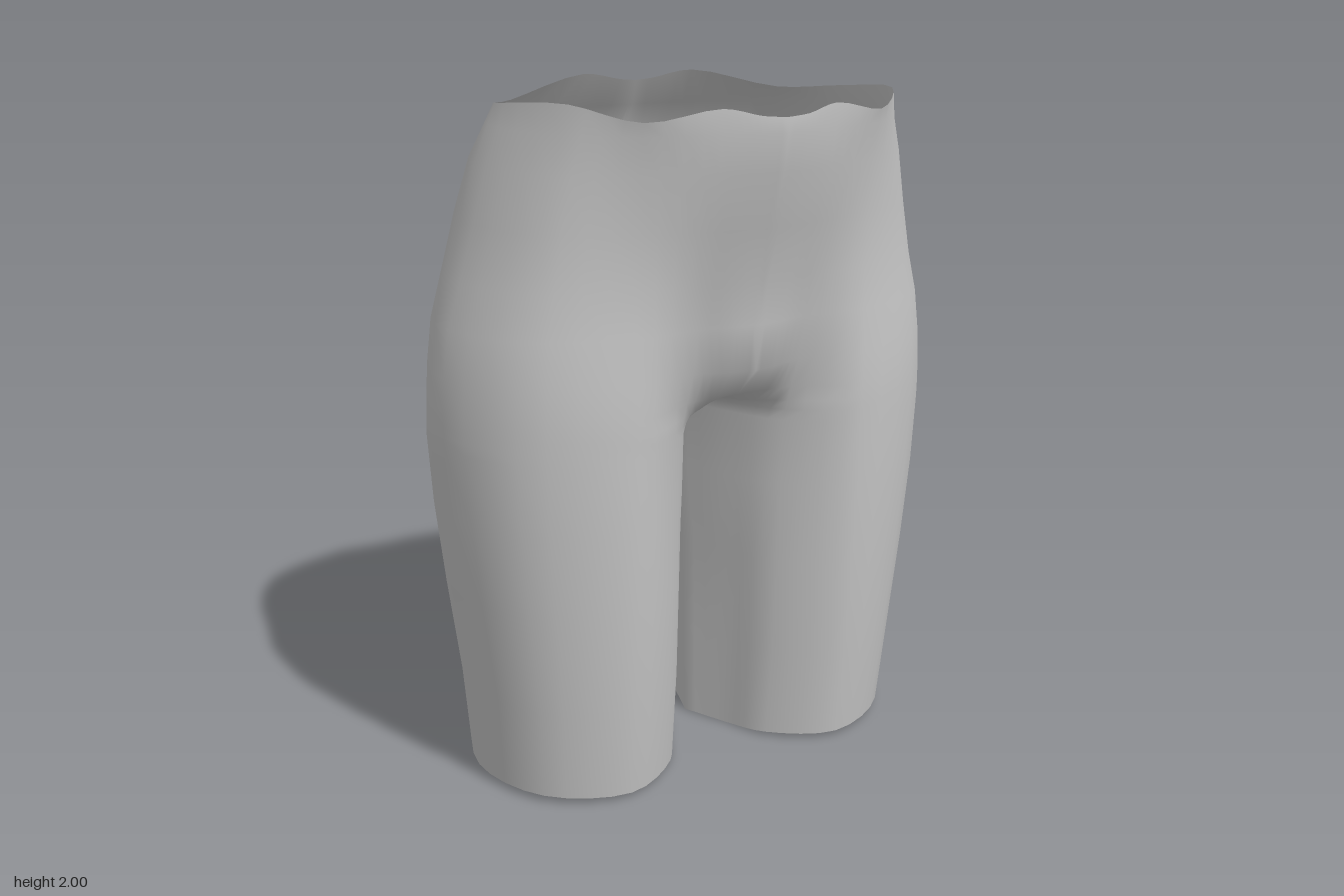
import * as THREE from 'three';
import { mergeVertices } from 'three/addons/utils/BufferGeometryUtils.js';

// Half cross-sections from waist to hem:
// y, inner x, front seam z, inner-front z, front z, outer x, back x, back z, inner-back z, back seam z
const hips = [
  [1.96, 0, 0.515, 0.48, 0.42, 0.555, 0.18, -0.28, -0.295, -0.30],
  [1.90, 0, 0.517, 0.48, 0.41, 0.577, 0.19, -0.35, -0.35, -0.345],
  [1.80, 0, 0.50, 0.465, 0.395, 0.62, 0.20, -0.44, -0.435, -0.415],
  [1.65, 0, 0.455, 0.43, 0.38, 0.665, 0.20, -0.50, -0.48, -0.45],
  [1.50, 0, 0.41, 0.385, 0.373, 0.71, 0.20, -0.515, -0.485, -0.43],
  [1.38, 0, 0.395, 0.365, 0.378, 0.75, 0.21, -0.50, -0.455, -0.39],
  [1.25, 0, 0.38, 0.335, 0.385, 0.77, 0.24, -0.465, -0.38, -0.31],
  [1.16, 0, 0.29, 0.30, 0.385, 0.777, 0.28, -0.432, -0.32, -0.22],
  [1.115, 0, 0.15, 0.285, 0.384, 0.779, 0.31, -0.43, -0.305, -0.17],
  [1.085, 0, -0.02, 0.275, 0.383, 0.78, 0.32, -0.432, -0.30, -0.12],
];
const legs = [
  [1.05, 0.004, -0.08, 0.265, 0.382, 0.78, 0.33, -0.437, -0.30, -0.08],
  [0.85, 0.004, -0.07, 0.25, 0.378, 0.768, 0.34, -0.447, -0.30, -0.07],
  [0.60, 0.025, -0.07, 0.245, 0.365, 0.742, 0.34, -0.447, -0.30, -0.07],
  [0.30, 0.03, -0.07, 0.23, 0.345, 0.705, 0.35, -0.437, -0.29, -0.07],
  [0.00, 0.035, -0.07, 0.20, 0.31, 0.685, 0.35, -0.42, -0.28, -0.07],
];
// Uneven heights of the open edges, from front seam to back seam
const waistEdge = [1.94, 1.945, 1.965, 1.935, 1.975, 1.955, 1.945, 2.0, 1.98, 1.975];
const hemEdge = [0, 0, 0.01, 0.015, 0.02, 0.02, 0.025, 0.035, 0.02, 0];
const COLS = 36;

// One half contour: front seam, round the outside, to the back seam
function contour([y, xi, zf, zi, zF, xo, xB, zB, zk, zb], edge) {
  const mid = -0.05;
  const bulge = y > 1.13 ? 0.3 : 0.52;
  const pts = [
    [xi, zf],
    [xi + 0.07, THREE.MathUtils.lerp(zf, zi, bulge)],
    [0.17, zi],
    [0.36, zF],
    [0.36 + 0.71 * (xo - 0.36), mid + 0.71 * (zF - mid)],
    [xo, mid],
    [xB + 0.69 * (xo - xB), mid + 0.69 * (zB - mid)],
    [xB, zB],
    [xB * 0.3, zk],
    [xi, zb],
  ].map(([x, z], i) => new THREE.Vector3(x, edge ? edge[i] : y, z));
  return new THREE.CatmullRomCurve3(pts).getPoints(COLS);
}

// Loft both mirrored halves into one smooth open skin
function loft(rows) {
  const positions = [], indices = [];
  const stride = COLS + 1;
  for (const side of [1, -1]) {
    const base = positions.length / 3;
    rows.forEach((row, r) => {
      const edge = r === 0 ? waistEdge : r === rows.length - 1 ? hemEdge : null;
      for (const p of contour(row, edge)) positions.push(side * Math.max(p.x, 0), Math.max(p.y, 0), p.z);
    });
    for (let r = 0; r < rows.length - 1; r++) {
      for (let c = 0; c < COLS; c++) {
        const a = base + r * stride + c, b = a + 1, d = a + stride, e = d + 1;
        if (side > 0) indices.push(a, d, b, b, d, e);
        else indices.push(a, b, d, b, e, d);
      }
    }
  }
  const g = new THREE.BufferGeometry();
  g.setAttribute('position', new THREE.Float32BufferAttribute(positions, 3));
  g.setIndex(indices);
  const merged = mergeVertices(g, 1e-4);
  merged.computeVertexNormals();
  return merged;
}

export function createModel() {
  const group = new THREE.Group();
  group.name = 'lowerBody';
  const grey = new THREE.MeshStandardMaterial({ color: 0xc4c4c4, side: THREE.DoubleSide });
  grey.name = 'grey';
  const skin = new THREE.Mesh(loft([...hips, ...legs]), grey);
  skin.name = 'hipsAndThighs';
  group.add(skin);
  return group;
}
